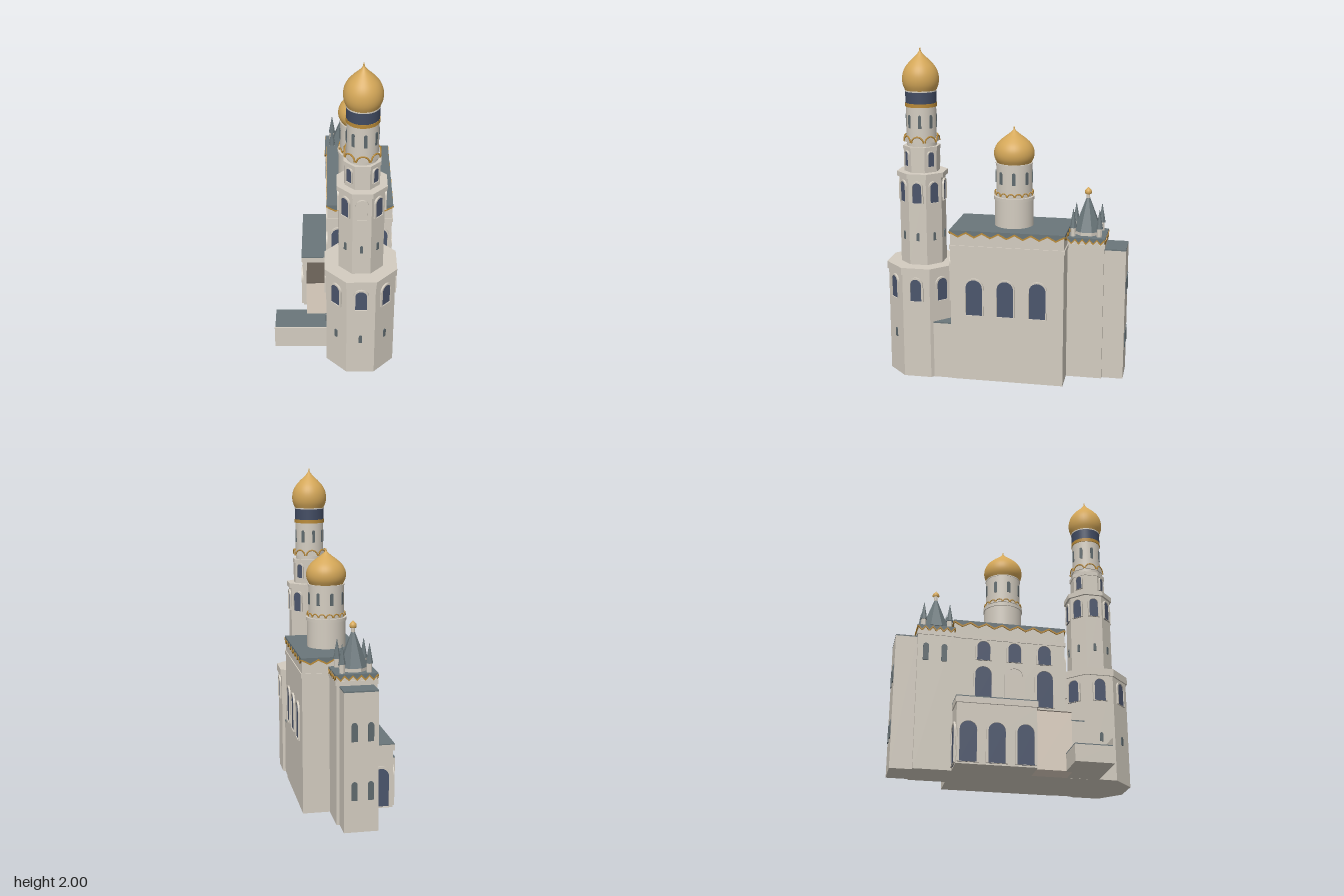
import * as THREE from 'three';

const mat = (name, color) => {
  const m = new THREE.MeshStandardMaterial({ color });
  m.name = name;
  return m;
};

export function createModel() {
  const stone = mat('stone', 0xd3ccc0), slate = mat('slate', 0x6a767a), gold = mat('gold', 0xd4a758);
  const trim = mat('giltTrim', 0xb98a38), glass = mat('blueGlass', 0x4b556c), band = mat('navyBand', 0x414b62);
  const warm = mat('warmPlaster', 0xe0d3c4), brown = mat('brownFloor', 0x665d54), slit = mat('slitGlass', 0x5f6a6e);
  const model = new THREE.Group();
  model.name = 'church';

  const add = (name, geo, m, x = 0, y = 0, z = 0, ry = 0, parent = model) => {
    const mesh = new THREE.Mesh(geo, m);
    mesh.name = name;
    mesh.position.set(x, y, z);
    mesh.rotation.y = ry;
    parent.add(mesh);
    return mesh;
  };
  // box given by its limits
  const block = (name, m, x0, x1, y0, y1, z0, z1) =>
    add(name, new THREE.BoxGeometry(x1 - x0, y1 - y0, z1 - z0), m, (x0 + x1) / 2, (y0 + y1) / 2, (z0 + z1) / 2);
  // octagonal prism with flat sides on the axes, a0 and a1 are the apothems
  const octagon = (name, m, x, z, y0, y1, a0, a1 = a0) => {
    const k = 1 / Math.cos(Math.PI / 8);
    const g = new THREE.CylinderGeometry(a1 * k, a0 * k, y1 - y0, 8).rotateY(Math.PI / 8).toNonIndexed();
    g.computeVertexNormals();
    return add(name, g, m, x, (y0 + y1) / 2, z);
  };
  const drum = (name, m, x, z, y0, y1, r) =>
    add(name, new THREE.CylinderGeometry(r, r, y1 - y0, 40), m, x, (y0 + y1) / 2, z);

  const archPath = (p, w, h, y0 = 0) => {
    p.moveTo(-w / 2, y0);
    p.lineTo(w / 2, y0);
    p.lineTo(w / 2, h - w / 2);
    p.absarc(0, h - w / 2, w / 2, 0, Math.PI, false);
    p.lineTo(-w / 2, y0);
    return p;
  };
  const extrude = (shape, depth) => new THREE.ExtrudeGeometry(shape, { depth, bevelEnabled: false, curveSegments: 10 });
  // arched pane with optional stone surround, facing local +z
  const arch = (name, m, w, h, x, y, z, ry, frame = 0) => {
    const g = new THREE.Group();
    g.name = name;
    g.position.set(x, y, z);
    g.rotation.y = ry;
    add('pane', extrude(archPath(new THREE.Shape(), w, h), 0.005), m, 0, 0, 0, 0, g);
    if (frame) {
      const s = archPath(new THREE.Shape(), w + 2 * frame, h + frame);
      s.holes.push(archPath(new THREE.Path(), w, h, 0.001));
      add('surround', extrude(s, 0.011), stone, 0, 0, 0, 0, g);
    }
    model.add(g);
  };
  // same arch on a face of a tower, at angle a and distance d
  const onFace = (name, m, w, h, cx, cz, y, d, a, frame) =>
    arch(name, m, w, h, cx + Math.sin(a) * d, y, cz + Math.cos(a) * d, a, frame);

  // zigzag eave: slate fascia over a gilt strip
  const eave = (len, n, yTop, yHi, yLo, x, z, ry) => {
    const zig = (off) => Array.from({ length: 2 * n + 1 }, (_, i) =>
      new THREE.Vector2(-len / 2 + (len * i) / (2 * n), (i % 2 ? yLo : yHi) + off));
    const top = [new THREE.Vector2(len / 2, yTop), new THREE.Vector2(-len / 2, yTop)];
    add('eaveFascia', extrude(new THREE.Shape([...zig(0), ...top]), 0.005), slate, x, 0, z, ry);
    add('eaveTrim', extrude(new THREE.Shape([...zig(-0.007), ...zig(0.003).reverse()]), 0.008), trim, x, 0, z, ry);
  };
  const eaves = (x0, x1, z0, z1, nx, nz, yTop, yHi, yLo) => {
    const cx = (x0 + x1) / 2, cz = (z0 + z1) / 2;
    eave(x1 - x0, nx, yTop, yHi, yLo, cx, z1, 0);
    eave(x1 - x0, nx, yTop, yHi, yLo, cx, z0, Math.PI);
    eave(z1 - z0, nz, yTop, yHi, yLo, x1, cz, Math.PI / 2);
    eave(z1 - z0, nz, yTop, yHi, yLo, x0, cz, -Math.PI / 2);
  };

  const onion = (name, x, y, z, r, h) => {
    const pts = [[0.84, 0], [0.96, 0.13], [1, 0.27], [0.95, 0.42], [0.8, 0.56], [0.55, 0.69],
      [0.29, 0.8], [0.12, 0.88], [0.05, 0.93], [0.03, 1]].map(([a, b]) => new THREE.Vector2(a * r, b * h));
    const profile = new THREE.SplineCurve(pts).getPoints(36);
    profile.push(new THREE.Vector2(0, h));
    add(name, new THREE.LatheGeometry(profile, 36), gold, x, y, z);
  };
  // ring of small gilt-edged gables
  const gables = (name, n, cx, cz, y, d, r, t) => {
    for (let i = 0; i < n; i++) {
      const a = (i / n) * Math.PI * 2, g = new THREE.Group();
      g.name = name;
      g.position.set(cx + Math.sin(a) * d, y, cz + Math.cos(a) * d);
      g.rotation.y = a;
      const s = new THREE.Shape();
      s.absarc(0, 0, r, 0, Math.PI, false);
      add('gable', extrude(s, 0.006).translate(0, 0, -0.006), stone, 0, 0, 0, 0, g);
      add('gableRim', new THREE.TorusGeometry(r, t, 5, 12, Math.PI), trim, 0, 0, 0, 0, g);
      model.add(g);
    }
  };

  // bell tower
  const tx = 0.152, tz = 0.517, Q = Math.PI / 4;
  octagon('towerBase', stone, tx, tz, 0, 0.655, 0.204);
  octagon('towerLowerLedge', stone, tx, tz, 0.655, 0.7, 0.213);
  octagon('towerMiddle', stone, tx, tz, 0.7, 1.235, 0.13);
  octagon('towerUpperLedge', stone, tx, tz, 1.235, 1.265, 0.143);
  octagon('towerThirdTier', stone, tx, tz, 1.265, 1.395, 0.1);
  octagon('towerThirdCornice', stone, tx, tz, 1.395, 1.42, 0.105);
  drum('towerDrum', stone, tx, tz, 1.42, 1.655, 0.09);
  drum('towerGiltRing', trim, tx, tz, 1.655, 1.677, 0.095);
  drum('towerNavyBand', band, tx, tz, 1.677, 1.745, 0.093);
  drum('towerDomeRing', stone, tx, tz, 1.745, 1.752, 0.095);
  onion('towerDome', tx, 1.75, tz, 0.11, 0.25);
  gables('towerGable', 8, tx, tz, 1.445, 0.1, 0.036, 0.005);
  for (let k = 0; k < 8; k++) {
    const a = k * Q;
    onFace('towerBaseWindow', glass, 0.068, 0.14, tx, tz, 0.49, 0.204, a, 0.011);
    if (k !== 2) onFace('towerBaseSlit', slit, 0.02, 0.055, tx, tz, 0.235, 0.204, a);
    onFace('towerMiddleSlit', slit, 0.017, 0.05, tx, tz, 0.85, 0.13, a);
    onFace('towerMiddleWindow', k ? glass : stone, 0.056, 0.125, tx, tz, 1.085, 0.13, a, 0.009);
    if (k % 2) onFace('towerThirdWindow', glass, 0.04, 0.09, tx, tz, 1.3, 0.1, a, 0.006);
    onFace('towerDrumSlit', slit, 0.018, 0.08, tx, tz, 1.53, 0.088, a + 0.15);
  }

  // main church hall
  const x0 = -0.043, x1 = 0.345, z0 = -0.381, z1 = 0.304;
  block('hallWalls', stone, x0, x1, 0, 0.94, z0, z1);
  block('hallCornice', stone, x0 - 0.006, x1 + 0.006, 0.83, 0.855, z0 - 0.006, z1 + 0.006);
  block('hallRoof', slate, x0 - 0.004, x1 + 0.004, 0.94, 0.948, z0 - 0.004, z1 + 0.004);
  eaves(x0, x1, z0, z1, 4, 7, 0.948, 0.938, 0.912);
  for (const z of [0.16, -0.03, -0.225])
    arch('hallRightWindow', glass, 0.1, 0.225, x1, 0.42, z, Math.PI / 2, 0.009);
  [0.175, -0.01, -0.2].forEach((z, i) => {
    arch('hallLeftWindow', i === 1 ? stone : glass, 0.1, 0.235, x0, 0.42, z, -Math.PI / 2, 0.011);
    arch('hallLeftUpperWindow', glass, 0.08, 0.125, x0, 0.695, z, -Math.PI / 2, 0.009);
  });
  for (const x of [0.03, 0.27]) arch('hallFrontWindow', glass, 0.1, 0.28, x, 0.5, z1, 0, 0.01);

  // hall drum and dome
  const dx = 0.142, dz = -0.048;
  drum('hallDrumBase', stone, dx, dz, 0.94, 1.11, 0.117);
  drum('hallDrumRing', stone, dx, dz, 1.11, 1.13, 0.123);
  drum('hallDrum', stone, dx, dz, 1.13, 1.325, 0.108);
  drum('hallDomeRing', stone, dx, dz, 1.325, 1.332, 0.111);
  gables('hallDrumGable', 16, dx, dz, 1.138, 0.114, 0.02, 0.004);
  for (let k = 0; k < 8; k++) onFace('hallDrumSlit', slit, 0.021, 0.075, dx, dz, 1.21, 0.106, k * Q + 0.15);
  onion('hallDome', dx, 1.33, dz, 0.121, 0.215);

  // rear chapel with tent roof and four spires
  block('chapelWalls', stone, -0.055, 0.183, 0, 0.885, -0.6, -0.381);
  block('chapelCornice', stone, -0.06, 0.188, 0.83, 0.855, -0.605, -0.376);
  block('chapelRoof', slate, -0.06, 0.188, 0.885, 0.893, -0.605, -0.376);
  eaves(-0.055, 0.183, -0.6, -0.381, 5, 5, 0.893, 0.885, 0.86);
  const cx = 0.064, cz = -0.487;
  octagon('tentBase', stone, cx, cz, 0.89, 0.915, 0.075);
  octagon('tentRoof', slate, cx, cz, 0.915, 1.115, 0.082, 0.01);
  drum('tentNeck', stone, cx, cz, 1.11, 1.14, 0.011);
  onion('tentDome', cx, 1.138, cz, 0.021, 0.045);
  for (const sx of [-1, 1]) for (const sz of [-1, 1]) {
    const x = cx + sx * 0.079, z = cz + sz * 0.079;
    octagon('spireDrum', stone, x, z, 0.89, 0.945, 0.015);
    octagon('spireRoof', slate, x, z, 0.945, 1.06, 0.02, 0.001);
  }
  for (const z of [-0.55, -0.44]) arch('chapelWindow', slit, 0.034, 0.11, -0.055, 0.665, z, -Math.PI / 2);

  // rear extension
  block('extensionWalls', stone, -0.035, 0.165, 0, 0.818, -0.73, -0.6);
  block('extensionRoof', slate, -0.035, 0.165, 0.818, 0.826, -0.73, -0.6);
  for (const x of [0.01, 0.104]) for (const y of [0.19, 0.535])
    arch('extensionWindow', slit, 0.034, 0.11, x, y, -0.73, Math.PI);

  // left porch
  block('porchWalls', stone, -0.204, -0.043, 0, 0.36, -0.378, 0.09);
  block('porchCornice', stone, -0.213, -0.043, 0.36, 0.396, -0.384, 0.097);
  block('porchRoof', slate, -0.213, -0.043, 0.396, 0.402, -0.384, 0.097);
  for (const z of [-0.31, -0.145, 0.022]) arch('porchArch', glass, 0.1, 0.24, -0.204, 0.01, z, -Math.PI / 2, 0.013);
  arch('porchRearArch', glass, 0.1, 0.24, -0.128, 0.01, -0.378, Math.PI, 0.013);

  // passage beside the hall
  block('passageWalls', warm, -0.178, -0.043, 0, 0.352, 0.09, 0.302);
  block('passageTop', brown, -0.178, -0.043, 0.352, 0.358, 0.097, 0.302);

  // link between hall and tower
  block('linkWalls', stone, x0, x1 - 0.005, 0, 0.352, 0.3, 0.418);
  block('linkRoof', slate, x0, x1 - 0.005, 0.352, 0.36, 0.3, 0.418);

  // low terrace with front parapet
  block('terrace', stone, -0.375, -0.045, 0, 0.1, 0.264, 0.484);
  block('terraceRoof', slate, -0.375, -0.045, 0.1, 0.106, 0.264, 0.484);
  block('terraceParapet', stone, -0.375, -0.045, 0, 0.15, 0.484, 0.492);
  return model;
}
